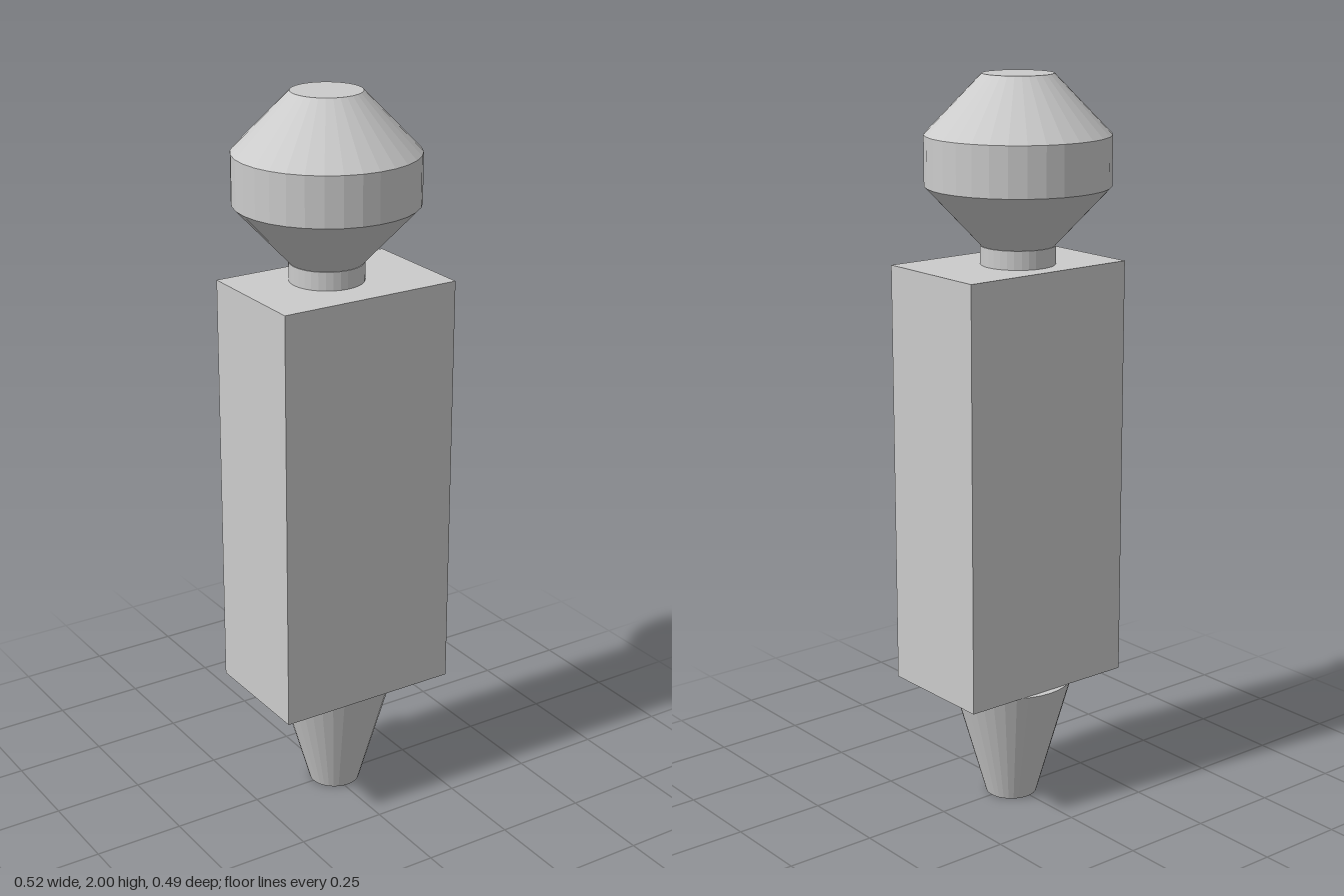
import * as THREE from 'three';

const SIDES = 32;

export function createModel() {
  const model = new THREE.Group();
  const material = new THREE.MeshStandardMaterial({ color: 0xcccccc, flatShading: true });

  function add(name, geometry, x, y, z) {
    const mesh = new THREE.Mesh(geometry, material);
    mesh.name = name;
    mesh.position.set(x, y, z);
    model.add(mesh);
  }

  // Faceted solid of revolution from [radius, height] points, bottom to top
  function turned(name, points, x) {
    const profile = points.map(([r, y]) => new THREE.Vector2(r, y));
    add(name, new THREE.LatheGeometry(profile, SIDES), x, 0, 0);
  }

  // Tapered foot under the body
  turned('foot', [[0, 0], [0.071, 0], [0.168, 0.343], [0, 0.343]], 0.01);

  // Block body, set slightly forward
  add('body', new THREE.BoxGeometry(0.518, 1.161, 0.341), 0, 0.9235, 0.022);

  // Short neck
  turned('neck', [[0, 1.504], [0.1, 1.504], [0.1, 1.554], [0, 1.554]], -0.014);

  // Head: lower cone, straight band, upper cone with flat crown
  turned('head', [
    [0, 1.554], [0.098, 1.554], [0.246, 1.711],
    [0.246, 1.844], [0.094, 2], [0, 2],
  ], -0.014);

  return model;
}
